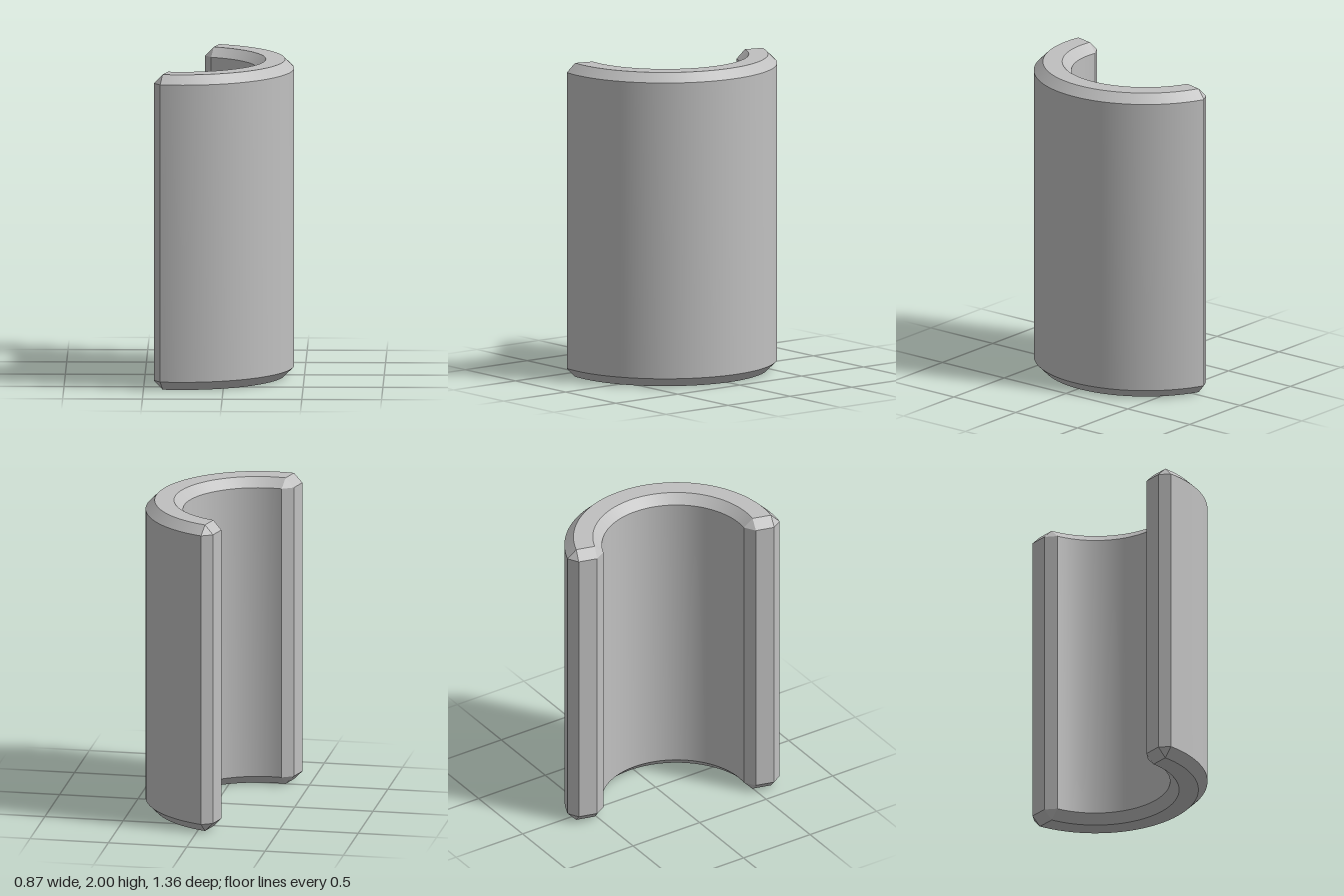
import * as THREE from 'three';
import { mergeGeometries } from 'three/addons/utils/BufferGeometryUtils.js';

const R = 0.703, r = 0.468, H = 2, C = 0.057; // radii, height, chamfer
const CX = -0.268, CZ = -0.0205;              // axis of the half ring
const TURN = THREE.MathUtils.degToRad(15);    // direction of the middle of the arc
const SEG = 72;

// Chamfered wall section as [radius, height], counter-clockwise
const section = [[R, C], [R, H - C], [R - C, H], [r + C, H], [r, H - C], [r, C], [r + C, 0], [R - C, 0]];
// End face corner belonging to each section point
const endCorner = [[R - C, C], [R - C, H - C], [R - C, H - C], [r + C, H - C],
  [r + C, H - C], [r + C, C], [r + C, C], [R - C, C]];

const place = (rad, y, t) => [CX + rad * Math.cos(t + TURN), y, CZ + rad * Math.sin(t + TURN)];

// The arc stops where it meets the plane one chamfer in front of the axis
const limit = rad => Math.acos(C / rad);

function build(positions, index) {
  const g = new THREE.BufferGeometry();
  g.setAttribute('position', new THREE.Float32BufferAttribute(positions.flat(), 3));
  g.setIndex(index);
  g.computeVertexNormals();
  return g;
}

// Smooth band swept along the arc from one section edge
function band(a, b) {
  const pos = [], index = [];
  for (let k = 0; k <= SEG; k++) {
    const s = (k / SEG) * 2 - 1;
    pos.push(place(a[0], a[1], s * limit(a[0])), place(b[0], b[1], s * limit(b[0])));
    if (k < SEG) {
      const i = k * 2;
      index.push(i, i + 1, i + 3, i, i + 3, i + 2);
    }
  }
  return build(pos, index);
}

// Flat convex polygon
function facet(points, flip) {
  const pts = flip ? [...points].reverse() : points;
  const index = [];
  for (let i = 1; i < pts.length - 1; i++) index.push(0, i, i + 1);
  return build(pts, index);
}

// Flat end of the wall with its chamfers and corner triangles
function wallEnd(side) {
  const rim = section.map(([rad, y]) => place(rad, y, side * limit(rad)));
  const face = endCorner.map(([rad, y]) => place(rad, y, side * Math.PI / 2));
  const flip = side < 0;
  const parts = [facet([face[0], face[1], face[3], face[5]], flip)];
  for (let i = 0; i < 8; i++) {
    const j = (i + 1) % 8;
    const corner = i % 2 === 1; // neighbours share one end corner here
    parts.push(facet(corner ? [rim[i], rim[j], face[j]] : [rim[i], rim[j], face[j], face[i]], flip));
  }
  return mergeGeometries(parts);
}

export function createModel() {
  const group = new THREE.Group();
  group.name = 'halfSleeve';
  const grey = new THREE.MeshStandardMaterial({ color: 0xc0c0c0 });
  grey.name = 'grey';
  const add = (name, geometry) => {
    const mesh = new THREE.Mesh(geometry, grey);
    mesh.name = name;
    group.add(mesh);
  };

  // Curved surfaces, one per section edge
  const names = ['outerWall', 'topOuterChamfer', 'topFace', 'topInnerChamfer',
    'innerWall', 'bottomInnerChamfer', 'bottomFace', 'bottomOuterChamfer'];
  names.forEach((name, i) => add(name, band(section[i], section[(i + 1) % 8])));

  // Two chamfered ends
  add('frontEnd', wallEnd(1));
  add('backEnd', wallEnd(-1));
  return group;
}
